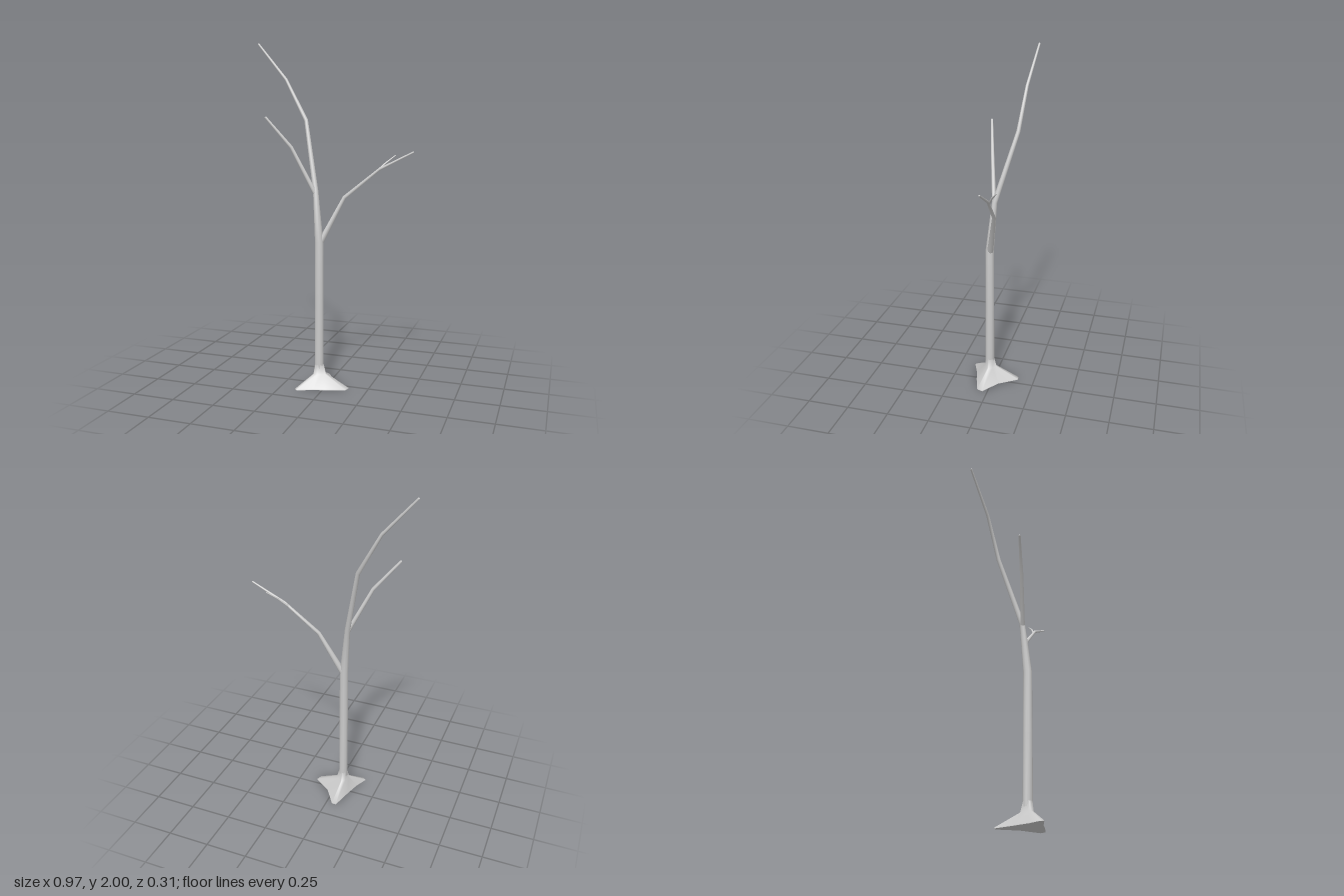
import * as THREE from 'three';

const SIDES = 10;
const V = (x, y, z) => new THREE.Vector3(x, y, z);

// Skin a list of equal-length rings (counter-clockwise about the direction of travel)
function loft(rings) {
  const n = rings[0].length, index = [];
  for (let j = 0; j < rings.length - 1; j++) {
    for (let k = 0; k < n; k++) {
      const a = j * n + k, b = j * n + (k + 1) % n;
      index.push(a, b, b + n, a, b + n, a + n);
    }
  }
  const geometry = new THREE.BufferGeometry().setFromPoints(rings.flat());
  geometry.setIndex(index);
  geometry.computeVertexNormals();
  return geometry;
}

// Tapered limb through [x, y, z, radius] nodes, mitred at bends, with a rounded tip
function limb(nodes) {
  const pts = nodes.map(([x, y, z]) => V(x, y, z));
  const last = pts.length - 1, rings = [];
  const normal = V(1, 0, 0), tangent = V(0, 0, 0), side = V(0, 0, 0);
  const ring = (centre, r) => Array.from({ length: SIDES }, (_, k) => {
    const a = k / SIDES * Math.PI * 2;
    return centre.clone().addScaledVector(normal, r * Math.cos(a)).addScaledVector(side, r * Math.sin(a));
  });
  pts.forEach((p, i) => {
    const before = p.clone().sub(pts[Math.max(i - 1, 0)]).normalize();
    const after = pts[Math.min(i + 1, last)].clone().sub(p).normalize();
    tangent.addVectors(before, after).normalize();
    normal.addScaledVector(tangent, -normal.dot(tangent)).normalize();
    side.crossVectors(tangent, normal);
    rings.push(ring(p, nodes[i][3]));
  });
  const tipR = nodes[last][3];
  rings.push(ring(pts[last].clone().addScaledVector(tangent, tipR * 0.5), tipR * 0.7));
  rings.push(ring(pts[last].clone().addScaledVector(tangent, tipR * 0.7), 0));
  return loft(rings);
}

const LIMBS = {
  trunk: [
    [-0.042, 0.1, 0.03, 0.027], [-0.042, 0.5, 0.03, 0.026], [-0.042, 0.86, 0.03, 0.025],
    [-0.07, 1.15, 0.008, 0.016], [-0.168, 1.55, -0.104, 0.012],
    [-0.298, 1.785, -0.122, 0.009], [-0.483, 1.995, -0.15, 0.006],
  ],
  leftBranch: [
    [-0.038, 0.85, 0.027, 0.018], [0.09, 1.115, -0.03, 0.011],
    [0.29, 1.28, -0.05, 0.008], [0.48, 1.378, -0.058, 0.005],
  ],
  leftTwig: [
    [0.26, 1.255, -0.047, 0.006], [0.318, 1.313, -0.08, 0.005], [0.365, 1.355, -0.117, 0.003],
  ],
  rightBranch: [
    [-0.068, 1.13, 0.01, 0.013], [-0.2, 1.4, 0.055, 0.01], [-0.338, 1.567, 0.096, 0.007],
  ],
};

// Outline of the three spreading roots on the ground, as [x, z]
const ROOTS = [
  [-0.095, -0.02], [-0.12, 0.068], [-0.154, 0.141], [-0.139, 0.154], [-0.05, 0.118], [0.02, 0.1],
  [0.128, 0.065], [0.14, 0.031], [0.037, -0.042], [-0.037, -0.15], [-0.063, -0.15],
];

export function createModel() {
  const group = new THREE.Group();
  const material = new THREE.MeshStandardMaterial({ color: 0xcccccc });
  const add = (name, geometry) => {
    const mesh = new THREE.Mesh(geometry, material);
    mesh.name = name;
    group.add(mesh);
  };

  for (const [name, nodes] of Object.entries(LIMBS)) add(name, limb(nodes));

  // Root flare: the ground outline shrinks to a collar around the trunk
  const cx = -0.042, cz = 0.03;
  const rootRing = (y, radius, spread) => ROOTS.map(([x, z]) => {
    const d = Math.hypot(x - cx, z - cz), r = radius + spread * d;
    return V(cx + (x - cx) / d * r, y, cz + (z - cz) / d * r);
  });
  const ground = rootRing(0, 0, 1);
  add('rootFlare', loft([ground, rootRing(0.005, 0, 0.99), rootRing(0.075, 0.025, 0.09), rootRing(0.13, 0.027, 0)]));
  add('rootUnderside', loft([rootRing(0, 0, 0), ground]));

  return group;
}
